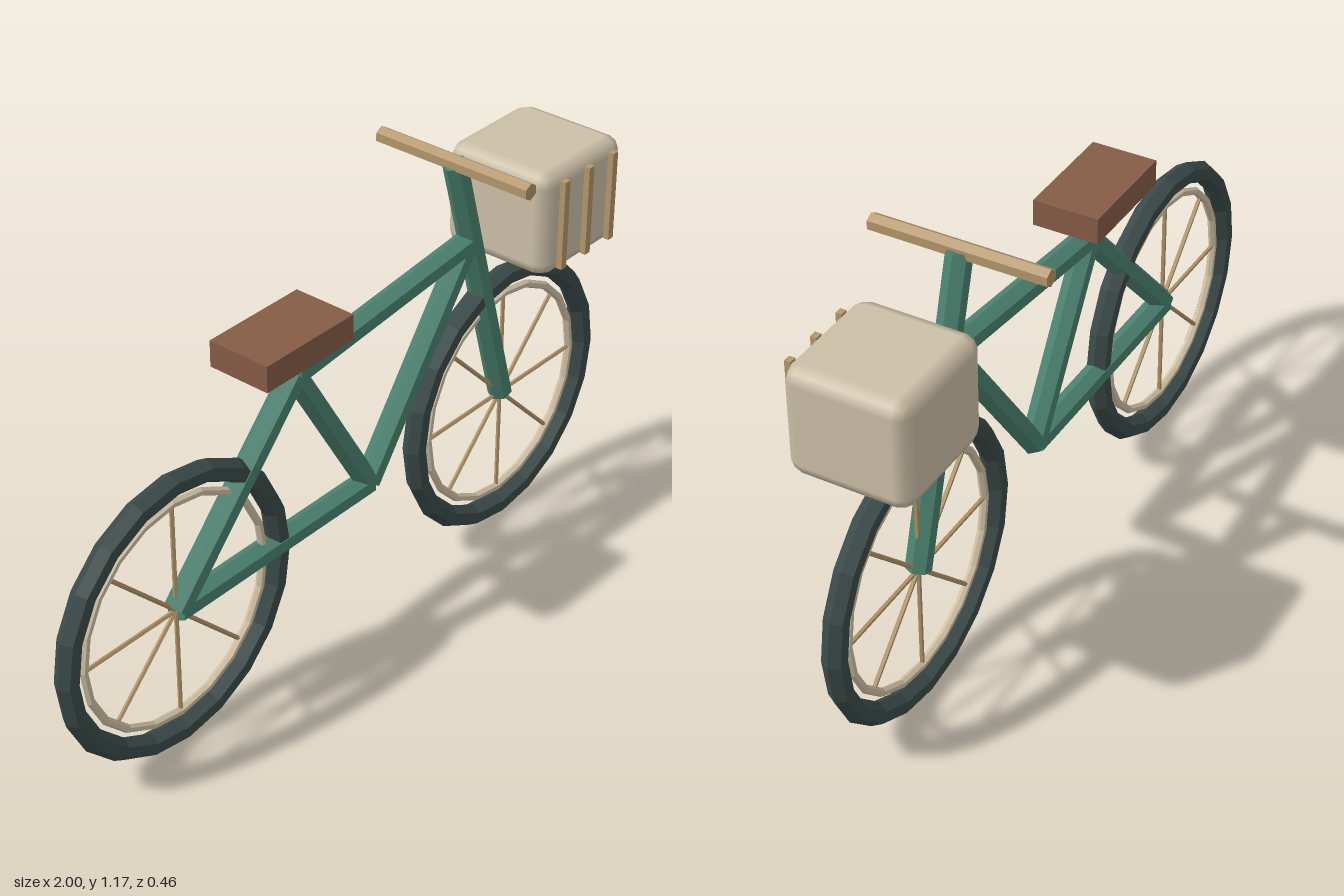
import * as THREE from 'three';
import { RoundedBoxGeometry } from 'three/addons/geometries/RoundedBoxGeometry.js';

const material = (name, color) => {
  const m = new THREE.MeshStandardMaterial({ color });
  m.name = name;
  return m;
};

// Faceted normals for the low-poly parts
const faceted = (geometry) => {
  const g = geometry.toNonIndexed();
  g.computeVertexNormals();
  return g;
};

export function createModel() {
  const green = material('frame green', 0x4b8270);
  const rubber = material('tyre dark grey', 0x3a4a49);
  const cream = material('rim cream', 0xd0c1a4);
  const tan = material('wood tan', 0xb3966b);
  const leather = material('seat brown', 0x855c45);
  const canvas = material('basket beige', 0xcbbfa6);

  const model = new THREE.Group();
  model.name = 'bicycle';

  const add = (parent, name, geometry, mat, x = 0, y = 0, z = 0) => {
    const mesh = new THREE.Mesh(geometry, mat);
    mesh.name = name;
    mesh.position.set(x, y, z);
    parent.add(mesh);
    return mesh;
  };

  // Wheels: tyre, rim and four spokes running right across
  const axleX = 0.615, axleY = 0.385;
  const tyreGeo = faceted(new THREE.TorusGeometry(0.355, 0.03, 6, 20));
  const rimGeo = faceted(new THREE.TorusGeometry(0.302, 0.011, 6, 20));
  const spokeGeo = faceted(new THREE.CylinderGeometry(0.006, 0.006, 0.6, 5));
  for (const [name, x] of [['rearWheel', -axleX], ['frontWheel', axleX]]) {
    const wheel = new THREE.Group();
    wheel.name = name;
    wheel.position.set(x, axleY, 0);
    add(wheel, 'tyre', tyreGeo, rubber);
    add(wheel, 'rim', rimGeo, cream);
    for (let i = 0; i < 4; i++) {
      add(wheel, 'spoke', spokeGeo, tan).rotation.z = (i * Math.PI) / 4;
    }
    model.add(wheel);
  }

  // Frame: hexagonal tubes between joints, flat side facing the viewer
  const rearHub = [-axleX, axleY], frontHub = [axleX, axleY];
  const seatJoint = [-0.195, 0.833], headJoint = [0.452, 0.905];
  const crank = [0.075, axleY], stemTop = [0.398, 1.147];
  const frame = new THREE.Group();
  frame.name = 'frame';
  model.add(frame);
  const tube = (name, [ax, ay], [bx, by]) => {
    const length = Math.hypot(bx - ax, by - ay);
    const geo = new THREE.CylinderGeometry(0.032, 0.032, length, 6, 1, false, Math.PI / 6);
    const mesh = add(frame, name, faceted(geo), green, (ax + bx) / 2, (ay + by) / 2);
    mesh.rotation.z = Math.atan2(by - ay, bx - ax) - Math.PI / 2;
  };
  tube('chainStay', rearHub, crank);
  tube('seatStay', rearHub, seatJoint);
  tube('seatTube', crank, seatJoint);
  tube('topTube', seatJoint, headJoint);
  tube('downTube', crank, headJoint);
  tube('fork', frontHub, stemTop);

  // Handlebar
  const barGeo = faceted(new THREE.CylinderGeometry(0.0225, 0.0225, 0.46, 6));
  add(model, 'handlebar', barGeo, tan, 0.397, 1.149).rotation.x = Math.PI / 2;

  // Seat
  add(model, 'seat', new THREE.BoxGeometry(0.3, 0.07, 0.175), leather, -0.232, 0.942, 0);

  // Basket with three slats on its side
  const basket = new THREE.Group();
  basket.name = 'basket';
  basket.position.set(0.725, 0.942, 0);
  add(basket, 'basketBody', new RoundedBoxGeometry(0.324, 0.288, 0.316, 1, 0.038), canvas);
  const slatGeo = new THREE.BoxGeometry(0.02, 0.245, 0.016);
  for (const x of [-0.1, 0, 0.1]) add(basket, 'slat', slatGeo, tan, x, 0, 0.168);
  model.add(basket);

  return model;
}
